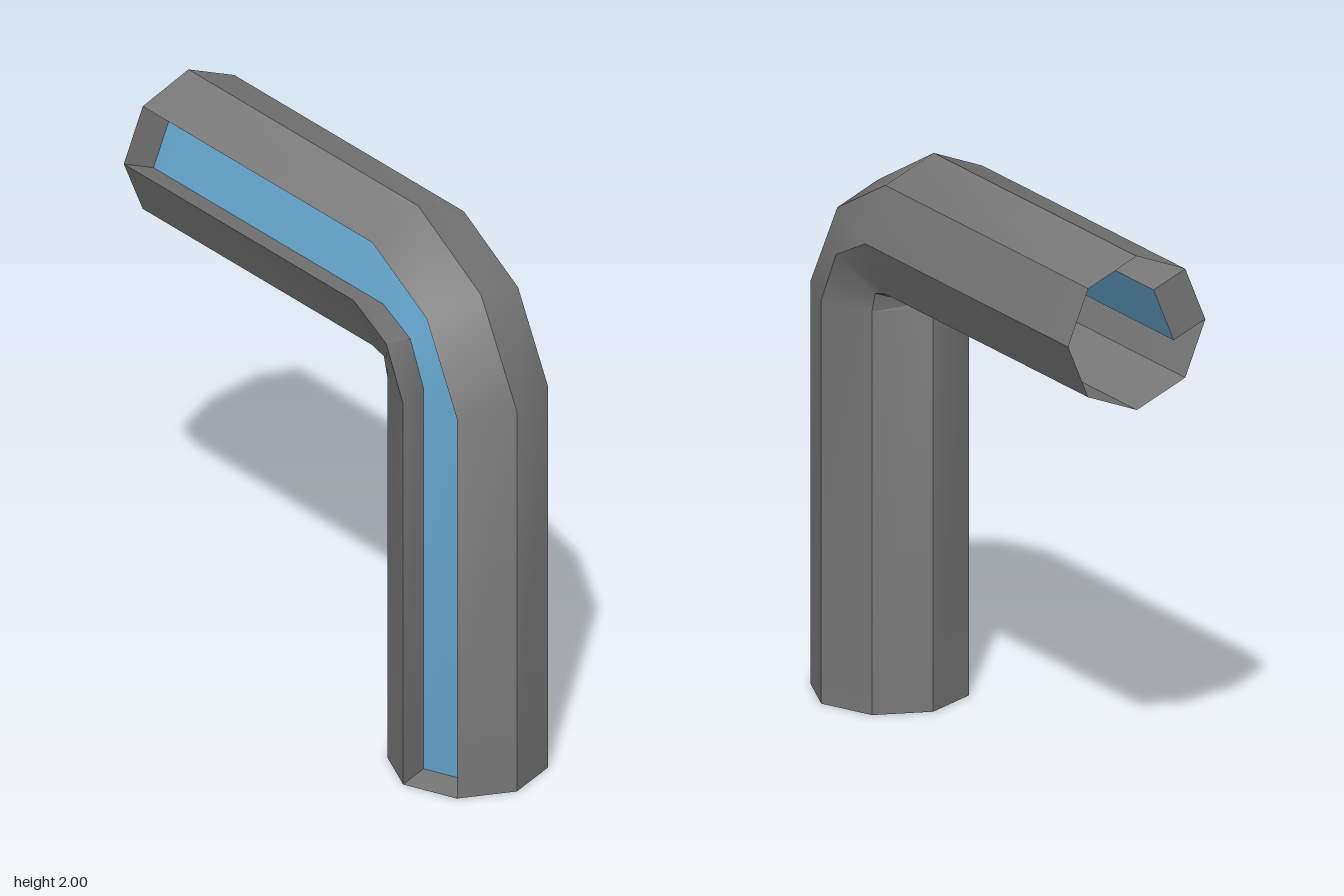
import * as THREE from 'three';
import { toCreasedNormals } from 'three/addons/utils/BufferGeometryUtils.js';

const R = 0.275;          // pipe radius
const AXIS_Z = 0.645;     // axis of the upright leg
const AXIS_Y = 1.725;     // axis of the level leg
const DEPTH = 0.137;      // depth of the channel

// Sweep stations: each places a section point (x, u), u pointing to the outside of the bend
const d = Math.SQRT1_2;
const stations = [
  (x, u) => [x, 0, AXIS_Z + u],
  (x, u) => [x, 1.443, AXIS_Z + u],
  (x, u) => [x, 1.45 + d * (0.26 + 0.87 * u), 0.367 + d * (0.26 + 0.87 * u)],
  (x, u) => [x, AXIS_Y + u, 0.367],
  (x, u) => [x, AXIS_Y + u, -0.92],
];

function quads(list) {
  const pos = [];
  for (const [a, b, c, e] of list) pos.push(...a, ...b, ...c, ...a, ...c, ...e);
  const g = new THREE.BufferGeometry();
  g.setAttribute('position', new THREE.Float32BufferAttribute(pos, 3));
  // smooth along the bend, sharp between the eight sides
  return toCreasedNormals(g, THREE.MathUtils.degToRad(36));
}

function sweep(section) {
  const list = [];
  for (let s = 0; s < stations.length - 1; s++) {
    for (let i = 0; i < section.length - 1; i++) {
      const p = section[i], q = section[i + 1];
      list.push([stations[s](...p), stations[s](...q), stations[s + 1](...q), stations[s + 1](...p)]);
    }
  }
  return quads(list);
}

export function createModel() {
  const gray = new THREE.MeshStandardMaterial({ color: 0x787878, side: THREE.DoubleSide });
  gray.name = 'gray';
  const blue = new THREE.MeshStandardMaterial({ color: 0x64a3cb, side: THREE.DoubleSide });
  blue.name = 'blue';

  const group = new THREE.Group();
  group.name = 'bentPipe';
  const add = (name, geometry, material) => {
    const mesh = new THREE.Mesh(geometry, material);
    mesh.name = name;
    group.add(mesh);
  };

  // Octagon from one channel edge round to the other, leaving one side open
  const ring = [];
  for (let i = -1; i <= 6; i++) {
    const a = (i * Math.PI) / 4;
    ring.push([R * Math.sin(a), R * Math.cos(a)]);
  }
  // Channel floor corners, pushed straight in from the open side
  const n = Math.PI / 8;
  const inward = ([x, u]) => [x + DEPTH * Math.cos(n), u - DEPTH * Math.sin(n)];
  const first = ring[0], last = ring[ring.length - 1];
  const floorA = inward(first), floorB = inward(last);

  add('pipeShell', sweep(ring), gray);
  add('channelFrontWall', sweep([floorA, first]), gray);
  add('channelBackWall', sweep([last, floorB]), gray);
  add('channelFloor', sweep([floorB, floorA]), blue);

  // Plates closing the channel at both ends
  const corners = [first, floorA, floorB, last];
  const plate = (at, pts) => quads([pts.map((p) => at(...p))]);
  add('lowerChannelEnd', plate(stations[0], corners.slice().reverse()), gray);
  add('rearChannelEnd', plate(stations[4], corners), gray);
  return group;
}
